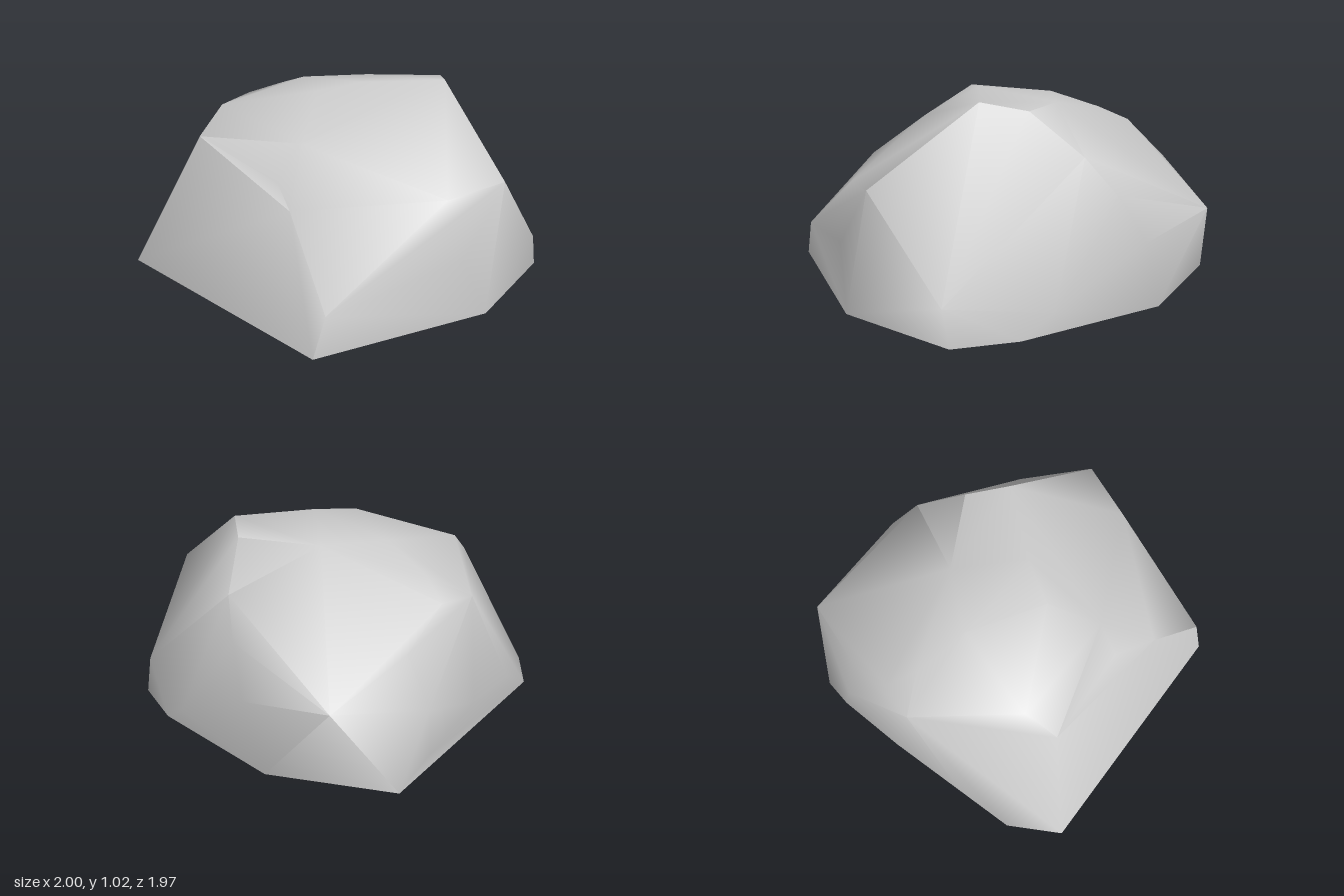
import * as THREE from 'three';
import { ConvexGeometry } from 'three/addons/geometries/ConvexGeometry.js';
import { toCreasedNormals } from 'three/addons/utils/BufferGeometryUtils.js';

// outline on the ground, x and z
const rim = [
  [-1, -0.36], [-0.79, -0.59], [0.5, -0.99], [0.9, -0.47],
  [1, 0.32], [0.95, 0.65], [0.39, 0.98], [-0.56, 0.97],
];

// corners of the lower flanks
const flanks = [
  [-0.49, 0.2, 0.96], [0.2, 0.61, 0.88], [0.52, 0.65, 0.89], [0.25, 0.32, 0.96],
  [0.91, 0.18, 0.67], [1, 0.11, 0.15], [0.89, 0.6, -0.22], [0.94, 0.36, -0.36],
  [0.77, 0.43, -0.82], [0.27, 0.33, -0.93], [0.3, 0.12, -0.97],
  [-0.1, 0.22, -0.86], [-0.5, 0.18, -0.71], [0.33, 0.6, -0.83],
];

// corners of the shoulder, where the flanks turn into the top
const shoulder = [
  [-0.66, 0.73, -0.19], [-0.49, 0.57, 0.58],
  [0.52, 1.02, 0.33], [0.63, 0.98, 0.12], [0.82, 0.78, -0.08],
  [0.05, 0.76, -0.76], [-0.15, 0.75, -0.76],
];

// slightly domed top
const crown = [
  [-0.5, 0.86, -0.27], [-0.12, 0.99, 0.12], [0.12, 1.02, 0.17],
  [0, 0.945, -0.3], [0, 0.835, -0.6],
];

// sunken corners: raised by a factor while the hull is wrapped, then set back
const center = new THREE.Vector3(0, 0.3, 0);
const dents = [
  [-0.31, 0.8, 0.33, 1.08], [-0.45, 0.62, 0.35, 1.13], [0.33, 0.95, -0.17, 1.06],
].map(([x, y, z, lift]) => {
  const place = new THREE.Vector3(x, y, z);
  return { place, raised: place.clone().sub(center).multiplyScalar(lift).add(center) };
});

// drop the ground faces, so the shell is open underneath, and press in the dents
function carve(hull) {
  const p = hull.getAttribute('position');
  const points = [];
  for (let i = 0; i < p.count; i += 3) {
    const face = [0, 1, 2].map((k) => new THREE.Vector3().fromBufferAttribute(p, i + k));
    if (face.every((v) => v.y < 0.001)) continue;
    for (const v of face) {
      const dent = dents.find((d) => d.raised.distanceTo(v) < 0.001);
      points.push(dent ? dent.place : v);
    }
  }
  return new THREE.BufferGeometry().setFromPoints(points);
}

export function createModel() {
  const group = new THREE.Group();
  group.name = 'rock';

  const corners = [...rim.map(([x, z]) => [x, 0, z]), ...flanks, ...shoulder, ...crown];
  const hull = new ConvexGeometry([
    ...corners.map((c) => new THREE.Vector3(...c)),
    ...dents.map((d) => d.raised),
  ]);
  const geometry = toCreasedNormals(carve(hull), 1.0);

  const material = new THREE.MeshStandardMaterial({ color: 0xcccccc, side: THREE.DoubleSide });
  const boulder = new THREE.Mesh(geometry, material);
  boulder.name = 'boulderShell';
  group.add(boulder);
  return group;
}
